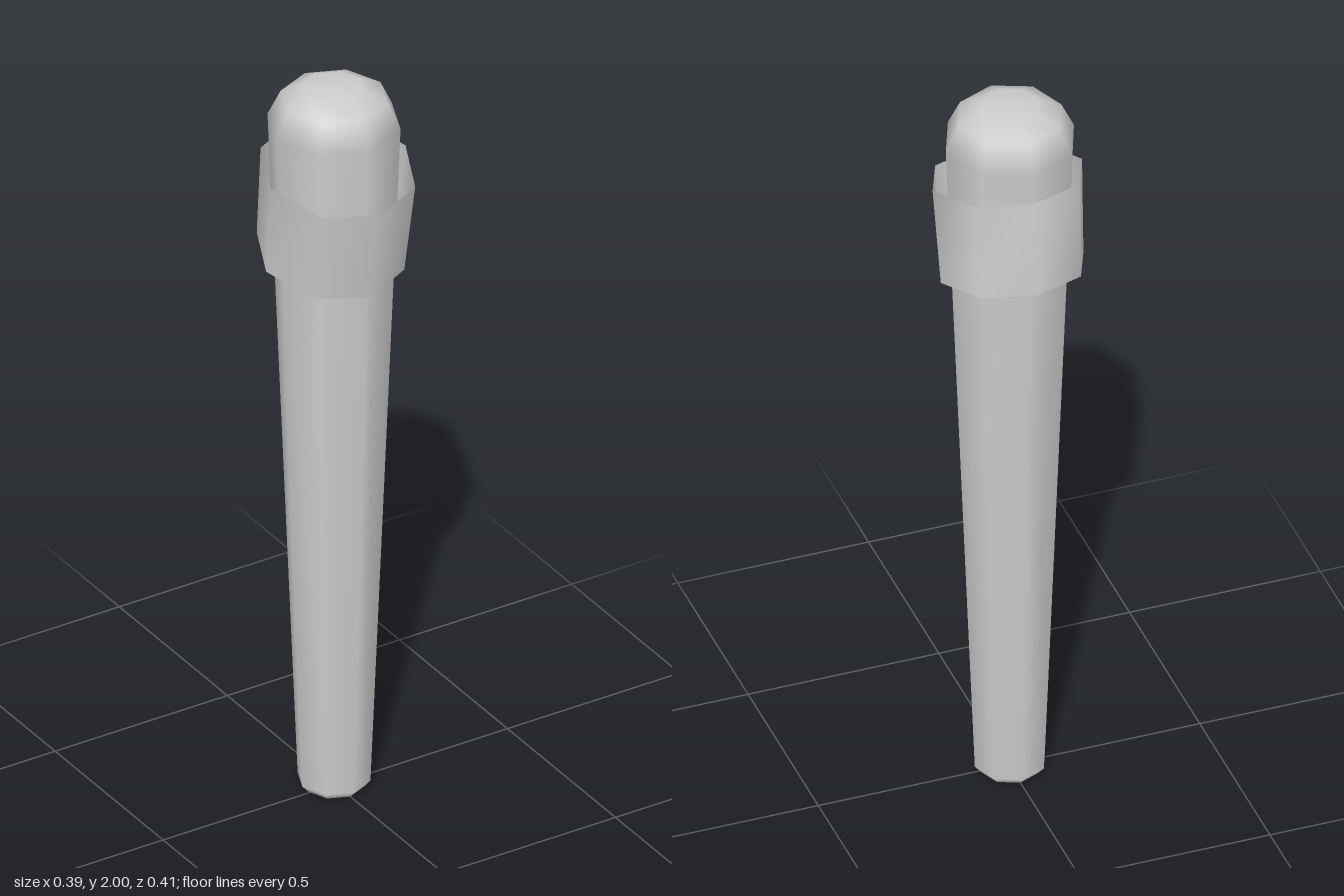
import * as THREE from 'three';

const SIDES = 8;

export function createModel() {
  const group = new THREE.Group();
  const material = new THREE.MeshStandardMaterial({ color: 0xcccccc });

  // tapered shaft with a bevelled foot and a rounded head
  const profile = [
    [0, 0], [0.075, 0], [0.092, 0.02], [0.168, 1.9], [0.135, 1.97], [0.075, 2], [0, 2],
  ].map(([r, y]) => new THREE.Vector2(r, y));
  const shaft = new THREE.Mesh(new THREE.LatheGeometry(profile, SIDES), material);
  shaft.name = 'shaft';
  shaft.position.z = -0.006;
  group.add(shaft);

  // loose open band, sloping down towards the front and leaning forward
  const bandGeometry = new THREE.CylinderGeometry(0.196, 0.187, 0.258, SIDES, 1, true);
  const p = bandGeometry.attributes.position;
  for (let i = 0; i < p.count; i++) {
    const y = p.getY(i);
    const z = p.getZ(i) * 0.99;
    p.setY(i, y + 1.649 - z * 0.218);
    p.setZ(i, z - 0.005 + y * 0.132);
  }
  bandGeometry.computeVertexNormals();
  // average the normals across the seam
  const n = bandGeometry.attributes.normal;
  for (const row of [0, SIDES + 1]) {
    const a = new THREE.Vector3().fromBufferAttribute(n, row);
    a.add(new THREE.Vector3().fromBufferAttribute(n, row + SIDES)).normalize();
    for (const i of [row, row + SIDES]) n.setXYZ(i, a.x, a.y, a.z);
  }
  const bandMaterial = material.clone();
  bandMaterial.side = THREE.DoubleSide;
  const band = new THREE.Mesh(bandGeometry, bandMaterial);
  band.name = 'band';
  group.add(band);

  return group;
}
